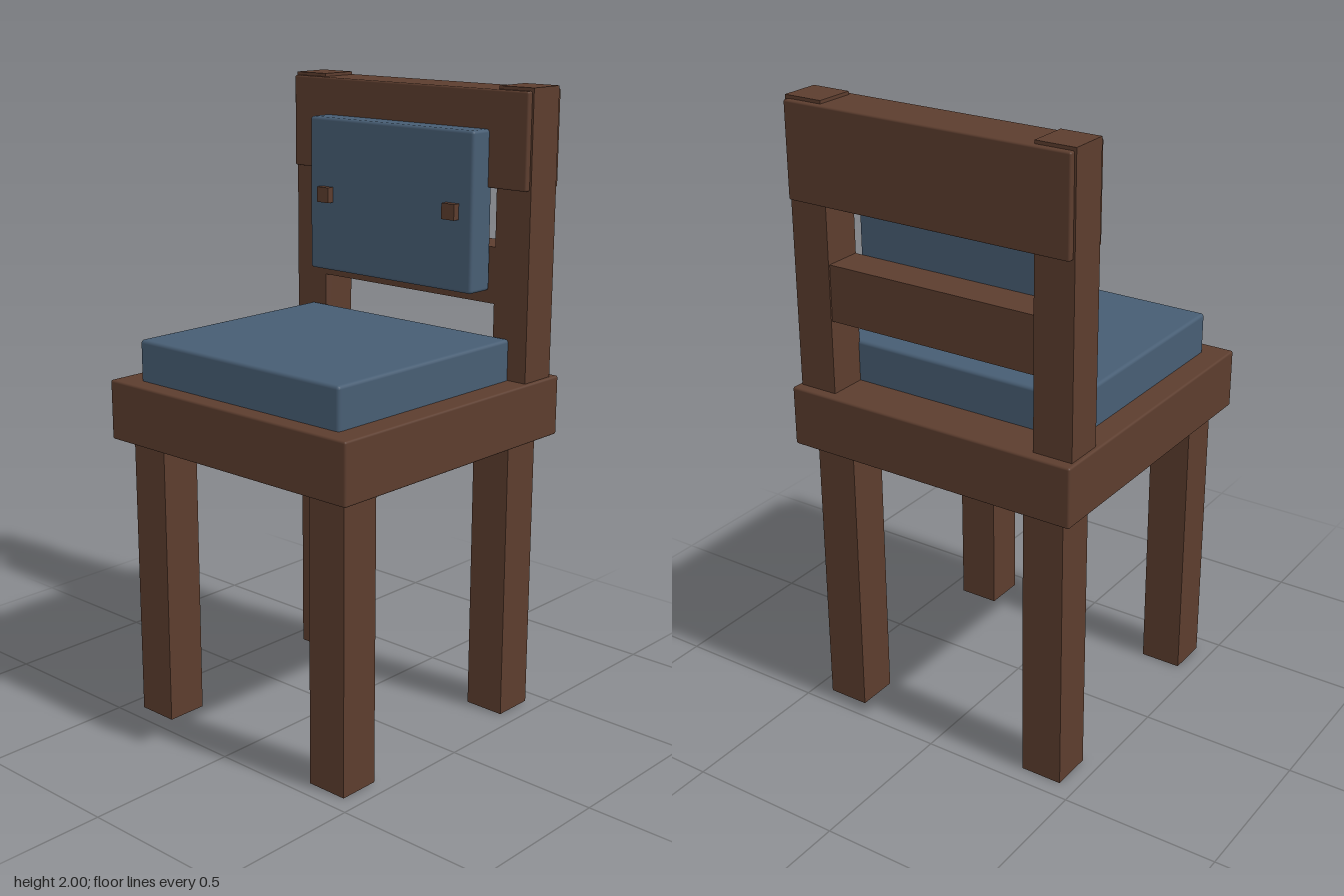
import * as THREE from 'three';
import { RoundedBoxGeometry } from 'three/addons/geometries/RoundedBoxGeometry.js';

export function createModel() {
  const chair = new THREE.Group();
  chair.name = 'chair';

  const wood = new THREE.MeshStandardMaterial({ color: 0x5c3d2e });
  wood.name = 'darkWood';
  const fabric = new THREE.MeshStandardMaterial({ color: 0x475d73 });
  fabric.name = 'blueFabric';

  // Box given by its extents on each axis; bevel > 0 softens the edges
  function addBox(name, material, [x0, x1], [y0, y1], [z0, z1], bevel = 0) {
    const size = [x1 - x0, y1 - y0, z1 - z0];
    const geometry = bevel
      ? new RoundedBoxGeometry(...size, 2, bevel)
      : new THREE.BoxGeometry(...size);
    const mesh = new THREE.Mesh(geometry, material);
    mesh.name = name;
    mesh.position.set((x0 + x1) / 2, (y0 + y1) / 2, (z0 + z1) / 2);
    chair.add(mesh);
  }

  // Seat frame and cushion
  addBox('seatFrame', wood, [-0.492, 0.492], [0.918, 1.108], [-0.492, 0.492], 0.007);
  addBox('seatCushion', fabric, [-0.414, 0.414], [1.095, 1.238], [-0.338, 0.434], 0.011);

  // Backrest rails and cushion
  addBox('topRail', wood, [-0.474, 0.474], [1.697, 1.99], [-0.478, -0.315], 0.006);
  addBox('middleRail', wood, [-0.36, 0.36], [1.34, 1.516], [-0.455, -0.335]);
  addBox('backCushion', fabric, [-0.334, 0.334], [1.38, 1.872], [-0.335, -0.24], 0.01);

  // Mirrored parts: legs, back posts and cushion buttons
  for (const [side, s] of [['left', 1], ['right', -1]]) {
    const span = (a, b) => (s > 0 ? [a, b] : [-b, -a]);
    addBox(side + 'FrontLeg', wood, span(0.308, 0.443), [0, 0.93], [0.308, 0.443]);
    addBox(side + 'BackLeg', wood, span(0.308, 0.443), [0, 0.93], [-0.443, -0.308]);
    addBox(side + 'BackPost', wood, span(0.353, 0.48), [1.1, 2], [-0.46, -0.334]);
    addBox(side + 'Button', wood, span(0.234, 0.283), [1.603, 1.652], [-0.25, -0.217]);
  }
  return chair;
}
